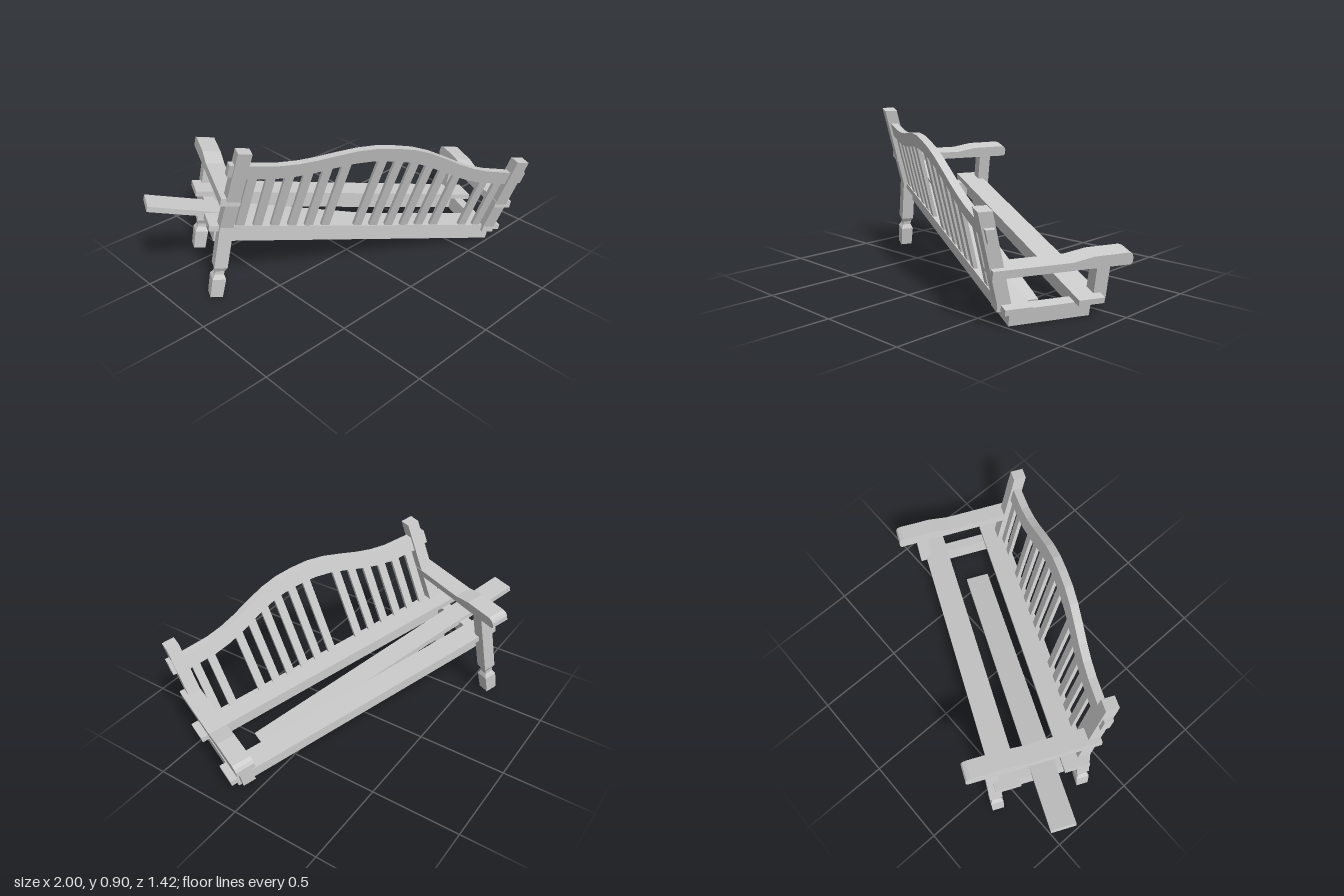
import * as THREE from 'three';

const mat = new THREE.MeshStandardMaterial({ color: 0xcccccc, flatShading: true });
const LEAN = 0.28; // backward slope of the backrest
const SEAT = 0.28; // height where the backrest starts to lean
const backZ = (y) => 0.184 + LEAN * Math.max(0, y - SEAT);

function add(parent, name, geometry, x = 0, y = 0, z = 0) {
  const mesh = new THREE.Mesh(geometry, mat);
  mesh.name = name;
  mesh.position.set(x, y, z);
  parent.add(mesh);
  return mesh;
}

// box given by its extents
function bar(parent, name, x0, x1, y0, y1, z0, z1) {
  const g = new THREE.BoxGeometry(x1 - x0, y1 - y0, z1 - z0);
  return add(parent, name, g, (x0 + x1) / 2, (y0 + y1) / 2, (z0 + z1) / 2);
}

// rectangular sections [y, z, half width, half depth] joined from bottom to top
function loft(sections) {
  const pos = [], idx = [];
  for (const [y, z, w, d = w] of sections) {
    pos.push(-w, y, z + d, w, y, z + d, w, y, z - d, -w, y, z - d);
  }
  const n = sections.length;
  for (let i = 0; i < n - 1; i++) {
    for (let j = 0; j < 4; j++) {
      const a = i * 4 + j, b = i * 4 + (j + 1) % 4;
      idx.push(a, b, b + 4, a, b + 4, a + 4);
    }
  }
  const t = (n - 1) * 4;
  idx.push(0, 2, 1, 0, 3, 2, t, t + 1, t + 2, t, t + 2, t + 3);
  const g = new THREE.BufferGeometry();
  g.setAttribute('position', new THREE.Float32BufferAttribute(pos, 3));
  g.setIndex(idx);
  const flat = g.toNonIndexed();
  flat.computeVertexNormals();
  return flat;
}

// shaped foot and neck under a post
const foot = (z) => [
  [-0.14, z, 0.033], [-0.03, z, 0.036], [-0.005, z, 0.024],
  [0.015, z, 0.024], [0.04, z, 0.035],
];

function armGeometry() {
  const profile = [
    [0.267, 0.43], [0.267, 0.472], [-0.13, 0.472], [-0.24, 0.492],
    [-0.42, 0.494], [-0.442, 0.486], [-0.45, 0.468], [-0.45, 0.44], [-0.44, 0.43],
  ];
  const shape = new THREE.Shape(profile.map(([z, y]) => new THREE.Vector2(z, y)));
  const g = new THREE.ExtrudeGeometry(shape, { depth: 0.1, bevelEnabled: false });
  g.translate(0, 0, -0.05);
  return g.rotateY(-Math.PI / 2);
}

// half of the crest outline, from centre to post: [x, top height]
const crest = [[0, 0.81], [0.1, 0.806], [0.2, 0.787], [0.3, 0.755], [0.4, 0.72],
  [0.49, 0.695], [0.58, 0.68], [0.76, 0.672]];

function crestTop(x) {
  const a = Math.abs(x);
  const i = Math.max(1, crest.findIndex(([cx]) => cx >= a));
  const [x0, y0] = crest[i - 1], [x1, y1] = crest[i];
  return y0 + (y1 - y0) * (a - x0) / (x1 - x0);
}

function crestGeometry() {
  const top = [...crest.slice(1).reverse().map(([x, y]) => [-x, y]), ...crest];
  const bottom = [...top].reverse().map(([x, y]) => [x, y - 0.08]);
  const shape = new THREE.Shape([...top, ...bottom].map((p) => new THREE.Vector2(...p)));
  const g = new THREE.ExtrudeGeometry(shape, { depth: 0.044, bevelEnabled: false });
  const p = g.attributes.position;
  for (let i = 0; i < p.count; i++) p.setZ(i, p.getZ(i) - 0.022 + backZ(p.getY(i)));
  return g;
}

export function createModel() {
  const model = new THREE.Group();
  model.name = 'brokenBench';
  const bench = new THREE.Group();
  bench.name = 'tiltedBench';
  model.add(bench);

  // posts, arms and side rails; the left side has lost its legs
  for (const s of [-1, 1]) {
    const side = s < 0 ? 'right' : 'left';
    const start = (z) => (s < 0 ? foot(z) : [[0.245, z, 0.035]]);
    add(bench, side + 'FrontPost', loft([...start(-0.313), [0.44, -0.313, 0.035]]), s * 0.772);
    add(bench, side + 'BackPost',
      loft([...start(0.184), [SEAT, 0.184, 0.035], [0.752, backZ(0.752), 0.035]]), s * 0.772);
    add(bench, side + 'Arm', armGeometry(), s * 0.785);
    bar(bench, side + 'SideRail', s * 0.787 - 0.03, s * 0.787 + 0.03, 0.168, 0.25, -0.263, 0.158);
    add(bench, side + 'Tenon',
      loft([[0.605, backZ(0.605), 0.04, 0.024], [0.675, backZ(0.675), 0.04, 0.024]]), s * 0.79);
  }

  // front and back seat rails
  bar(bench, 'frontSeatRail', -0.79, 0.79, 0.168, 0.25, -0.263, -0.215);
  bar(bench, 'backSeatRail', -0.79, 0.79, 0.168, 0.25, 0.11, 0.158);

  // seat planks still in place
  bar(bench, 'frontSeatPlank', -0.857, 0.857, 0.25, 0.28, -0.313, -0.176);
  bar(bench, 'backSeatPlank', -0.857, 0.857, 0.25, 0.28, 0.062, 0.2);

  // loose middle plank, slid sideways and dropped at one end
  const loose = add(bench, 'looseSeatPlank',
    new THREE.BoxGeometry(1.73, 0.03, 0.135), -0.281, 0.207, -0.039);
  loose.rotation.z = -0.085;

  // backrest with two slats missing
  add(bench, 'crestRail', crestGeometry());
  for (let i = 0; i < 16; i++) {
    if (i === 6 || i === 13) continue;
    const x = (i - 7.5) * 0.0931, top = crestTop(x) - 0.06;
    add(bench, 'backSlat',
      loft([[0.265, backZ(0.265), 0.023, 0.011], [SEAT, backZ(SEAT), 0.023, 0.011],
        [top, backZ(top), 0.023, 0.011]]), x);
  }

  // the whole bench leans over onto its legless side
  bench.rotation.set(0, -0.4276, -0.2007, 'YXZ');
  bench.position.set(-0.015, 0.003, -0.007);
  return model;
}
